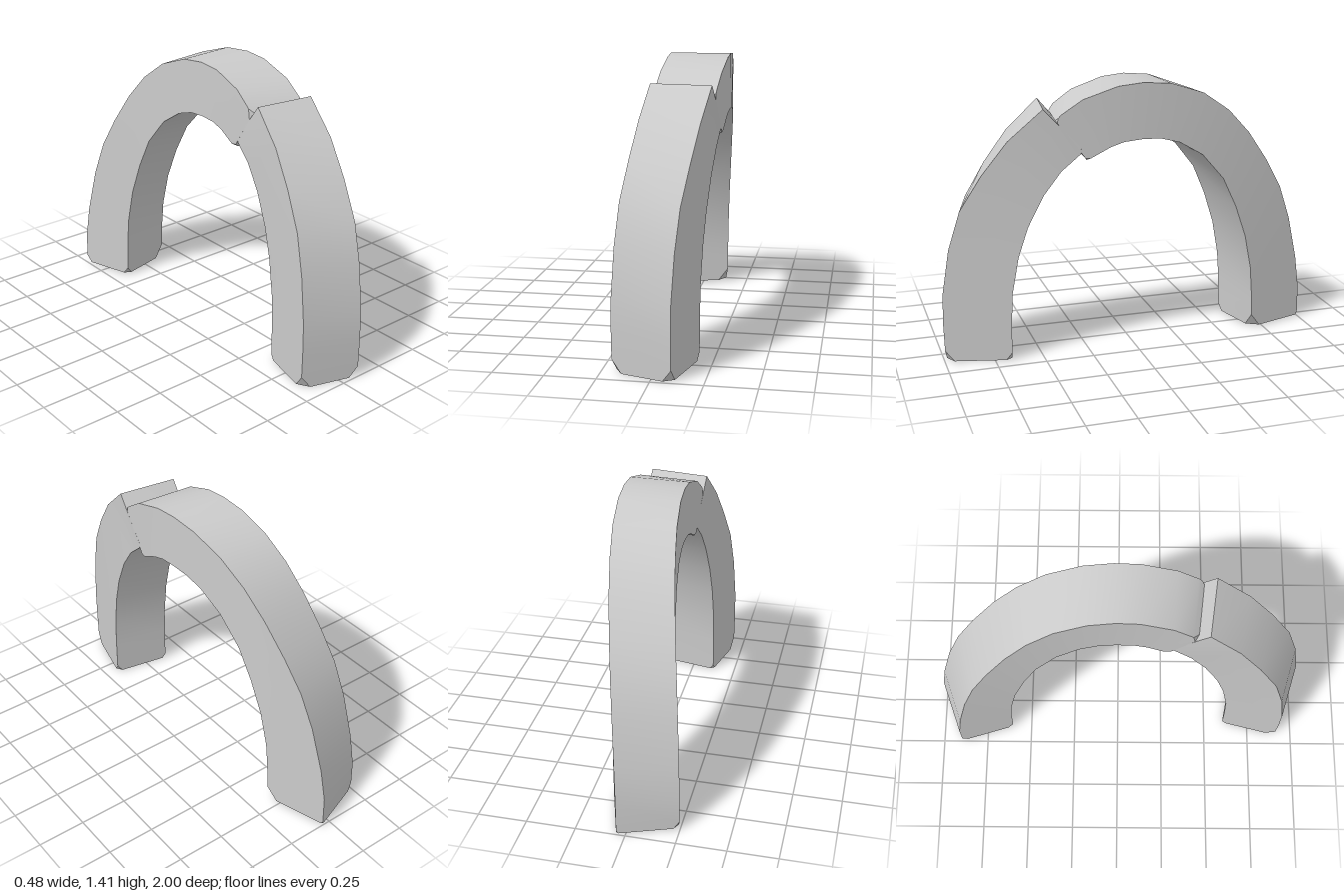
import * as THREE from 'three';
import { toCreasedNormals } from 'three/addons/utils/BufferGeometryUtils.js';

const WIDTH = 0.31, RADIUS = 3.15, FACE_X = 0.235, MID_Z = 0.08;

// Bends the flat arch profile around a vertical axis; depth runs from the +x face inwards.
function bend(z, y, depth) {
  const a = Math.asin((z - MID_Z) / RADIUS);
  const r = RADIUS - depth;
  return new THREE.Vector3(FACE_X - RADIUS + r * Math.cos(a), y, MID_Z + r * Math.sin(a));
}

// Four corners of a section: outer +x, outer -x, inner -x, inner +x.
const corners = ([zo, yo, zi, yi]) =>
  [bend(zo, yo, 0), bend(zo, yo, WIDTH), bend(zi, yi, WIDTH), bend(zi, yi, 0)];

const toward = (p, q, d) => p.clone().add(q.clone().sub(p).setLength(d));

// End of a block: an inset ring and a cap ring whose corners are chipped off.
function chippedEnd(end, next, chips) {
  const inset = [], cap = [];
  end.forEach((p, k) => {
    const apex = toward(p, next[k], chips[k] * 1.3);
    inset.push(apex, apex);
    cap.push(toward(p, end[(k + 3) % 4], chips[k]), toward(p, end[(k + 1) % 4], chips[k]));
  });
  return { inset, cap };
}

// Stone block lofted through sections [outer z, outer y, inner z, inner y].
function block(name, sections, startChips, endChips) {
  const quads = sections.map(corners);
  const n = quads.length;
  const first = chippedEnd(quads[0], quads[1], startChips);
  const last = chippedEnd(quads[n - 1], quads[n - 2], endChips);
  const middle = quads.slice(1, -1).map(q => q.flatMap(p => [p, p]));
  const rings = [first.cap, first.inset, ...middle, last.inset, last.cap];

  const pos = [];
  const tri = (a, b, c) => {
    const area = b.clone().sub(a).cross(c.clone().sub(a)).length();
    if (area > 1e-7) for (const p of [a, b, c]) pos.push(p.x, p.y, p.z);
  };
  for (let i = 0; i < rings.length - 1; i++) {
    for (let k = 0; k < 8; k++) {
      const j = (k + 1) % 8;
      tri(rings[i][k], rings[i + 1][j], rings[i][j]);
      tri(rings[i][k], rings[i + 1][k], rings[i + 1][j]);
    }
  }
  for (let k = 1; k < 7; k++) {
    tri(first.cap[0], first.cap[k], first.cap[k + 1]);
    tri(last.cap[0], last.cap[k + 1], last.cap[k]);
  }
  const geo = new THREE.BufferGeometry();
  geo.setAttribute('position', new THREE.Float32BufferAttribute(pos, 3));
  const mesh = new THREE.Mesh(toCreasedNormals(geo, 0.45),
    new THREE.MeshStandardMaterial({ color: 0xcccccc }));
  mesh.name = name;
  return mesh;
}

export function createModel() {
  const group = new THREE.Group();
  group.name = 'brokenArch';

  // Front leg, rising to the cracked joint
  group.add(block('frontLeg', [
    [0.995, 0.003, 0.665, 0.003],
    [1.0, 0.2, 0.662, 0.2],
    [0.997, 0.36, 0.655, 0.36],
    [0.96, 0.6, 0.62, 0.555],
    [0.9, 0.8, 0.57, 0.71],
    [0.79, 0.98, 0.49, 0.87],
    [0.66, 1.15, 0.40, 0.99],
    [0.485, 1.305, 0.30, 1.075],
    [0.42, 1.235, 0.29, 1.09],
  ], [0.045, 0.05, 0.02, 0.03], [0.02, 0.03, 0.015, 0.015]));

  // Crown and back leg in one long piece
  group.add(block('crownAndBackLeg', [
    [0.425, 1.245, 0.27, 1.04],
    [0.395, 1.275, 0.2, 1.075],
    [0.29, 1.345, 0.15, 1.1],
    [0.11, 1.403, 0.08, 1.122],
    [-0.02, 1.415, -0.02, 1.13],
    [-0.17, 1.402, -0.115, 1.126],
    [-0.35, 1.342, -0.22, 1.097],
    [-0.5, 1.24, -0.35, 1.02],
    [-0.625, 1.11, -0.475, 0.88],
    [-0.745, 0.945, -0.555, 0.72],
    [-0.84, 0.785, -0.62, 0.545],
    [-0.91, 0.6, -0.66, 0.36],
    [-0.97, 0.36, -0.672, 0.22],
    [-0.998, 0.18, -0.675, 0.14],
    [-1.0, 0.01, -0.68, 0.01],
  ], [0.015, 0.03, 0.02, 0.015], [0.012, 0.03, 0.03, 0.055]));

  return group;
}
